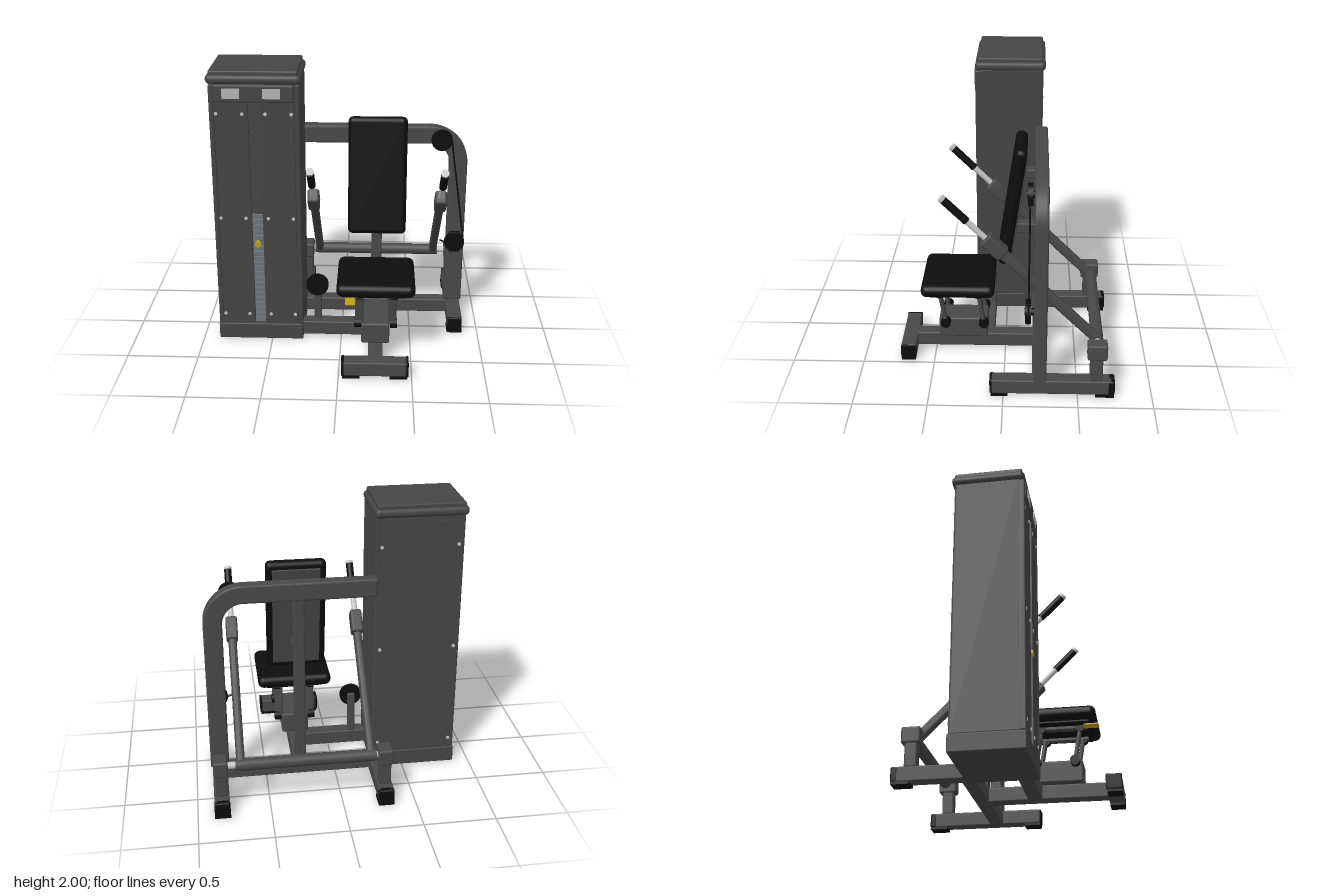
import * as THREE from 'three';
import { RoundedBoxGeometry } from 'three/addons/geometries/RoundedBoxGeometry.js';

const mat = (name, color) => {
  const m = new THREE.MeshStandardMaterial({ color });
  m.name = name;
  return m;
};

export function createModel() {
  const root = new THREE.Group();
  root.name = 'pressMachine';
  const frame = mat('frame grey', 0x484848);
  const shell = mat('shroud grey', 0x454545);
  const black = mat('black padding', 0x0d0d0d);
  const stackGrey = mat('weight steel', 0x6c757b);
  const silver = mat('bright steel', 0xc4c4c4);
  const label = mat('label grey', 0xb4b4b4);
  const yellow = mat('yellow', 0xc0a010);

  const add = (name, geo, m, x = 0, y = 0, z = 0, parent = root) => {
    const mesh = new THREE.Mesh(geo, m);
    mesh.name = name;
    mesh.position.set(x, y, z);
    parent.add(mesh);
    return mesh;
  };
  // box given by its limits, with optional rounded edges
  const block = (name, m, [x0, x1], [y0, y1], [z0, z1], r = 0, parent = root) => {
    const s = [x1 - x0, y1 - y0, z1 - z0];
    const geo = r ? new RoundedBoxGeometry(...s, 3, r) : new THREE.BoxGeometry(...s);
    return add(name, geo, m, (x0 + x1) / 2, (y0 + y1) / 2, (z0 + z1) / 2, parent);
  };
  // cylinder between two points
  const rod = (name, m, a, b, r, parent = root, sides = 24) => {
    const p = new THREE.Vector3(...a), q = new THREE.Vector3(...b);
    const d = q.clone().sub(p);
    const mesh = add(name, new THREE.CylinderGeometry(r, r, d.length(), sides), m, 0, 0, 0, parent);
    mesh.position.copy(p).add(q).multiplyScalar(0.5);
    mesh.quaternion.setFromUnitVectors(new THREE.Vector3(0, 1, 0), d.normalize());
    return mesh;
  };

  // --- weight tower ---
  const tower = new THREE.Group();
  tower.name = 'weightTower';
  root.add(tower);
  block('towerPlinth', shell, [-0.885, -0.275], [0.005, 0.125], [-0.255, 0.23], 0.008, tower);
  block('towerBody', shell, [-0.88, -0.275], [0.12, 1.92], [-0.245, 0.195], 0.01, tower);
  for (const x of [-0.865, -0.292]) {
    block('frontPost', shell, [x - 0.016, x + 0.017], [0.125, 1.91], [0.18, 0.228], 0.008, tower);
  }
  block('frontPanel', shell, [-0.847, -0.622], [0.13, 1.79], [0.19, 0.223], 0, tower);
  block('frontPanel', shell, [-0.54, -0.311], [0.13, 1.79], [0.19, 0.223], 0, tower);
  block('backPanel', shell, [-0.855, -0.3], [0.14, 1.88], [-0.252, -0.24], 0, tower);
  block('header', shell, [-0.85, -0.31], [1.79, 1.91], [0.18, 0.235], 0.012, tower);
  block('towerCap', shell, [-0.9, -0.265], [1.91, 1.972], [-0.268, 0.228], 0.028, tower);
  block('towerLid', shell, [-0.88, -0.285], [1.96, 2], [-0.25, 0.21], 0.012, tower);
  for (const x of [-0.73, -0.46]) {
    block('label', label, [x - 0.059, x + 0.059], [1.818, 1.888], [0.232, 0.239], 0, tower);
  }
  for (const y of [0.205, 0.955, 1.71]) {
    for (const x of [-0.835, -0.66, -0.505, -0.33]) {
      rod('bolt', silver, [x, y, 0.22], [x, y, 0.229], 0.012, tower, 12);
    }
    for (const x of [-0.84, -0.315]) {
      rod('backBolt', silver, [x, y, -0.25], [x, y, -0.258], 0.012, tower, 12);
    }
  }
  // stacked plates with selector pin
  for (let i = 0; i < 21; i++) {
    const y = 0.13 + i * 0.0405;
    block('weightPlate', stackGrey, [-0.618, -0.545], [y + 0.006, y + 0.038], [0.19, 0.212], 0, tower);
  }
  block('stackTop', shell, [-0.615, -0.555], [1.04, 1.1], [0.19, 0.215], 0, tower);
  rod('selectorPin', yellow, [-0.582, 0.757, 0.2], [-0.582, 0.757, 0.235], 0.022, tower);

  // --- base ---
  const Y = [0.018, 0.122];
  block('frontFoot', frame, [0.035, 0.465], Y, [0.63, 0.735], 0.01);
  for (const x of [[0.018, 0.038], [0.462, 0.478]]) block('footCap', black, x, Y, [0.628, 0.737], 0.006);
  block('spine', frame, [0.2, 0.302], Y, [-0.28, 0.64], 0.01);
  block('rearCrossbeam', frame, [-0.28, 0.8], Y, [-0.29, -0.195], 0.01);
  block('sideCrossbeam', frame, [-0.28, 0.21], Y, [0.08, 0.18], 0.01);
  const feet = [[-0.295, -0.2], [0.832, 0.085]];
  for (const [x, front] of feet) {
    block('sideFoot', frame, [x - 0.052, x + 0.052], Y, [-0.735, front], 0.01);
    block('footCap', black, [x - 0.053, x + 0.053], Y, [-0.75, -0.7], 0.012);
    block('pivotPost', frame, [x - 0.042, x + 0.042], [0.12, 0.3], [-0.665, -0.58], 0.01);
    block('pivotBlock', frame, [x - 0.05, x + 0.05], [0.285, 0.4], [-0.692, -0.56], 0.014);
    block('rubberPad', black, [x - 0.055, x + 0.055], [0, 0.02], [-0.745, -0.62]);
  }
  block('footCap', black, [0.78, 0.884], Y, [0.068, 0.092], 0.01);
  block('rubberPad', black, [0.777, 0.887], [0, 0.02], [-0.03, 0.085]);
  for (const x of [0.085, 0.41]) block('rubberPad', black, [x - 0.06, x + 0.06], [0, 0.02], [0.635, 0.735]);

  // --- arched frame ---
  const arch = new THREE.Shape();
  arch.moveTo(-0.285, 1.5);
  arch.lineTo(0.62, 1.5);
  arch.absarc(0.62, 1.225, 0.275, Math.PI / 2, 0, true);
  arch.lineTo(0.895, 0.12);
  arch.lineTo(0.765, 0.12);
  arch.lineTo(0.765, 1.225);
  arch.absarc(0.62, 1.225, 0.145, 0, Math.PI / 2, false);
  arch.lineTo(-0.285, 1.37);
  const b = 0.014;
  add('archFrame', new THREE.ExtrudeGeometry(arch, {
    depth: 0.09 - 2 * b, bevelEnabled: true, bevelThickness: b, bevelSize: b, bevelOffset: -b,
    bevelSegments: 3, curveSegments: 20,
  }), frame, 0, 0, -0.29 + b);
  block('centreUpright', frame, [0.21, 0.288], [0.12, 1.4], [-0.285, -0.2], 0.012);

  // --- backrest, tilted back ---
  const back = new THREE.Group();
  back.name = 'backrest';
  back.position.set(0.249, 1.18, -0.058);
  back.rotation.x = -0.146;
  root.add(back);
  block('backPad', black, [-0.207, 0.207], [-0.422, 0.422], [-0.035, 0.046], 0.035, back);
  block('backPlate', shell, [-0.165, 0.165], [-0.375, 0.375], [-0.046, -0.03], 0.005, back);
  block('backBracket', frame, [0.21, 0.288], [0.93, 1.0], [-0.21, -0.06], 0.008);
  block('backBracket', frame, [0.21, 0.288], [1.34, 1.4], [-0.21, -0.12], 0.008);

  // --- seat on parallel links ---
  block('seatBase', frame, [0.15, 0.347], [0.12, 0.275], [0.125, 0.47], 0.014);
  block('seatPad', black, [-0.02, 0.517], [0.525, 0.615], [0.07, 0.578], 0.042);
  block('seatPlate', black, [0.04, 0.455], [0.508, 0.54], [0.12, 0.53], 0.008);
  for (const x of [0.135, 0.365]) {
    block('seatRail', frame, [x - 0.03, x + 0.03], [0.49, 0.515], [0.15, 0.5]);
    for (const z of [0.42, 0.15]) {
      const link = add('seatLink', new RoundedBoxGeometry(0.06, 0.245, 0.026, 2, 0.01), frame,
        x, 0.38, z + 0.02);
      link.rotation.x = 0.165;
      const side = x < 0.25 ? -0.01 : 0.01;
      for (const [y, dz] of [[0.26, 0], [0.5, 0.04]]) {
        rod('linkPivot', black, [x + side - 0.024, y, z + dz], [x + side + 0.024, y, z + dz], 0.035);
      }
    }
  }
  block('seatLever', yellow, [0.04, 0.11], [0.484, 0.498], [0.49, 0.595], 0.005);

  // --- moving press arms ---
  rod('pivotTube', frame, [-0.235, 0.345, -0.63], [0.73, 0.345, -0.63], 0.042);
  rod('pivotPin', silver, [-0.25, 0.345, -0.63], [0.79, 0.345, -0.63], 0.024);
  for (const x of [-0.198, 0.694]) {
    const arm = new THREE.Group();
    arm.name = 'pressArm';
    arm.position.set(x, 0.345, -0.63);
    arm.rotation.x = Math.PI / 4;
    root.add(arm);
    block('armTube', frame, [-0.029, 0.029], [-0.035, 0.95], [-0.035, 0.035], 0.024, arm);
    block('armSleeve', frame, [-0.041, 0.041], [0.89, 1.06], [-0.05, 0.05], 0.016, arm);
    rod('handleRod', silver, [0, 1.04, 0], [0, 1.25, 0], 0.02, arm);
    rod('grip', black, [0, 1.225, 0], [0, 1.44, 0], 0.026, arm);
    rod('gripEnd', silver, [0, 1.435, 0], [0, 1.455, 0], 0.027, arm);
  }

  // --- pulleys and cable ---
  const pulley = (x, y, z, r) => {
    rod('pulley', black, [x, y, z - 0.017], [x, y, z + 0.017], r, root, 36);
    rod('pulleyHub', black, [x, y, z - 0.04], [x, y, z + 0.024], 0.025);
  };
  pulley(0.705, 1.41, -0.172, 0.075);
  pulley(0.822, 0.625, -0.165, 0.073);
  block('pulleyBracket', black, [0.785, 0.862], [0.55, 0.705], [-0.182, -0.145], 0.006);
  pulley(-0.173, 0.405, 0.137, 0.08);
  block('pulleyPost', frame, [-0.2, -0.146], [0.12, 0.43], [0.082, 0.118], 0.008);
  rod('cable', black, [0.776, 1.4, -0.17], [0.888, 0.64, -0.166], 0.006, root, 8);
  rod('cable', black, [0.78, 0.61, -0.166], [0.715, 0.635, -0.17], 0.006, root, 8);

  return root;
}
